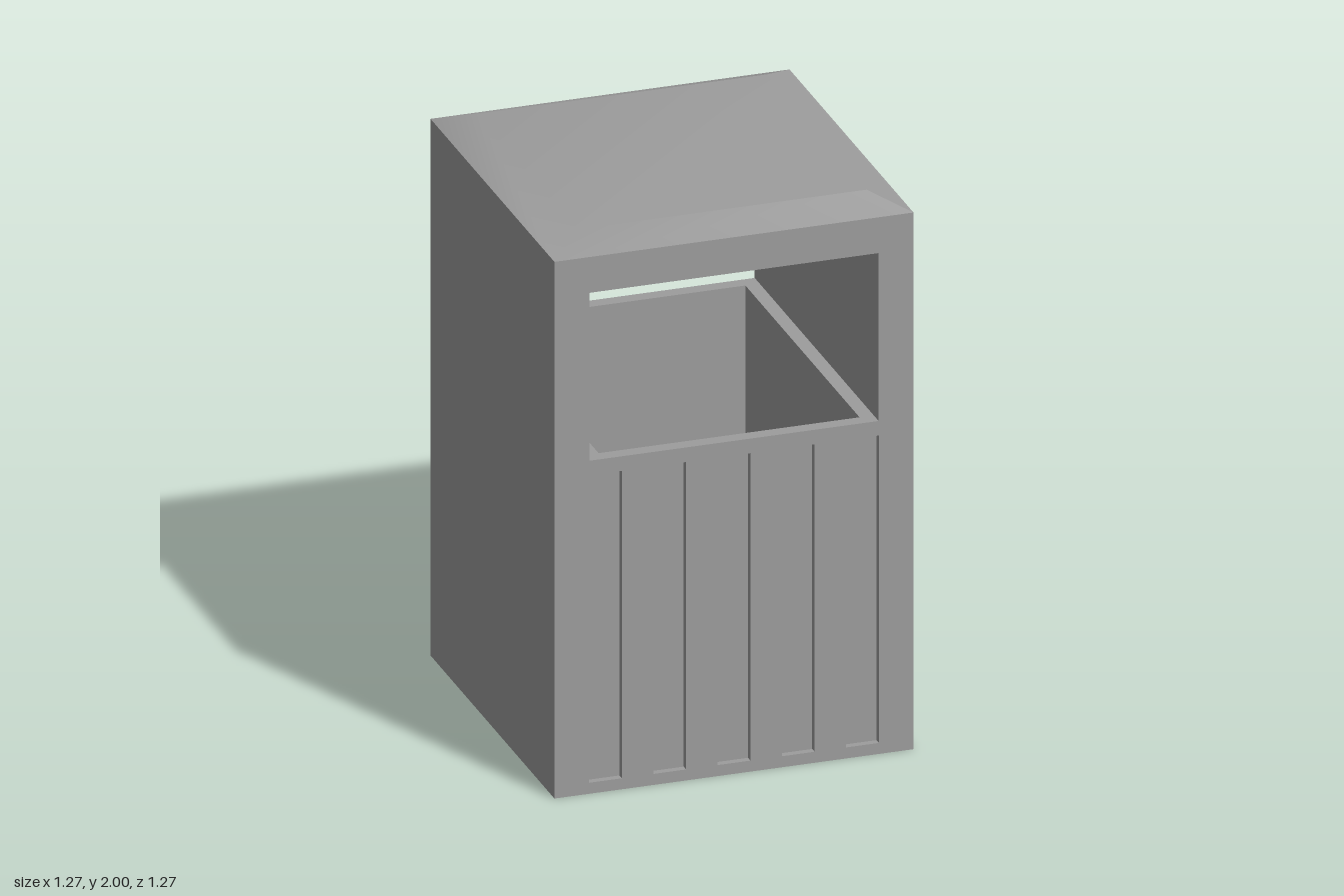
import * as THREE from 'three';

const W = 0.633;          // half width and half depth
const H = 1.95;           // body height below the roof
const OPEN = 0.51;        // half width of the opening
const SILL = 1.21, HEAD = 1.82;
const GROOVE = 0.025;     // groove depth, also backing thickness
const PIT = 0.46;         // half width of the inner bin
const FLOOR = 0.05;

const material = new THREE.MeshStandardMaterial({ color: 0x9d9d9d });

const points = (list) => list.map(([x, y]) => new THREE.Vector2(x, y));
const rect = (x0, y0, x1, y1) => points([[x0, y0], [x1, y0], [x1, y1], [x0, y1]]);

// Slab with the body outline and the given holes, between z0 and z0 + depth
function slab(name, holes, z0, depth) {
  const shape = new THREE.Shape(rect(-W, 0, W, H));
  holes.forEach((h) => shape.holes.push(new THREE.Path(h)));
  const geo = new THREE.ExtrudeGeometry(shape, { depth, bevelEnabled: false });
  geo.translate(0, 0, z0);
  const mesh = new THREE.Mesh(geo, material);
  mesh.name = name;
  return mesh;
}

// Low bevelled roof: soft all round, but the front and back slopes
// have their own corners at +x, so they are creased towards that end
function makeRoof() {
  const T = OPEN, top = 2;
  const corners = [
    [-W, H, W], [-T, top, T], [T, top, T], [W, H, W],
    [-W, H, -W], [-T, top, -T], [T, top, -T], [W, H, -W],
    [T, top, T], [W, H, W], [T, top, -T], [W, H, -W],
  ];
  const geo = new THREE.BufferGeometry();
  geo.setAttribute('position', new THREE.Float32BufferAttribute(corners.flat(), 3));
  geo.setIndex([
    0, 1, 5, 0, 5, 4,      // left slope
    1, 2, 6, 1, 6, 5,      // top
    2, 3, 7, 2, 7, 6,      // right slope
    0, 9, 8, 0, 8, 1,      // front slope
    11, 4, 5, 11, 5, 10,   // back slope
  ]);
  geo.computeVertexNormals();
  const roof = new THREE.Mesh(geo, material);
  roof.name = 'roof';
  return roof;
}

export function createModel() {
  const model = new THREE.Group();
  model.name = 'litterBin';

  const opening = rect(-OPEN, SILL, OPEN, HEAD);
  const grooves = [-2, -1, 0, 1, 2].map((i) => {
    const x = i * 0.2265;
    return rect(x - 0.058, 0.04, x + 0.058, 1.157);
  });

  // Side walls, floor and ceiling around the stepped cavity
  const cavity = points([
    [-PIT, FLOOR], [PIT, FLOOR], [PIT, SILL], [OPEN, SILL],
    [OPEN, HEAD], [-OPEN, HEAD], [-OPEN, SILL], [-PIT, SILL],
  ]);
  const inner = W - 2 * GROOVE;
  model.add(slab('body', [cavity], -inner, 2 * inner));

  // Grooved panels with their backing, front and back
  for (const side of ['front', 'back']) {
    const panel = new THREE.Group();
    panel.name = side + 'Panel';
    panel.add(slab('backing', [opening], inner, GROOVE));
    panel.add(slab('groovedFace', [opening, ...grooves], inner + GROOVE, GROOVE));
    if (side === 'back') panel.rotation.y = Math.PI;
    model.add(panel);
  }

  model.add(makeRoof());
  return model;
}
